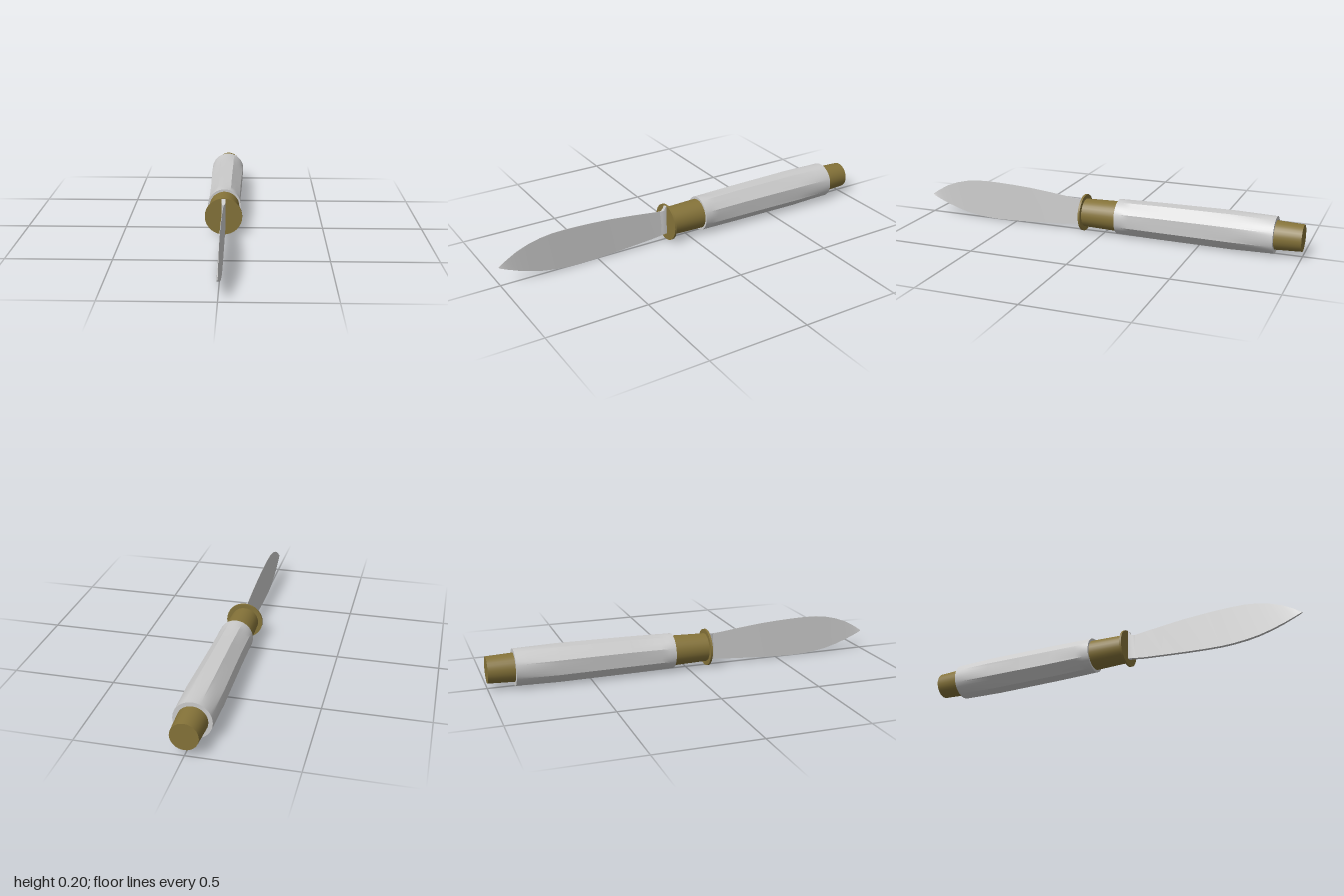
import * as THREE from 'three';
import { toCreasedNormals } from 'three/addons/utils/BufferGeometryUtils.js';

const AXIS_Y = 0.093;
const steel = new THREE.MeshStandardMaterial({ color: 0xcccccc });
const brass = new THREE.MeshStandardMaterial({ color: 0x857339 });

// Skin a list of rings (ordered by rising z, counter-clockwise seen from +z) and cap both ends.
function loft(rings, crease) {
  const n = rings[0].length, pos = [], index = [];
  rings.forEach(r => r.forEach(p => pos.push(...p)));
  for (let i = 0; i < rings.length - 1; i++) {
    for (let j = 0; j < n; j++) {
      const a = i * n + j, b = i * n + (j + 1) % n;
      index.push(a, b, b + n, a, b + n, a + n);
    }
  }
  const last = (rings.length - 1) * n;
  for (let j = 1; j < n - 1; j++) {
    index.push(0, j + 1, j, last, last + j, last + j + 1);
  }
  const g = new THREE.BufferGeometry();
  g.setAttribute('position', new THREE.Float32BufferAttribute(pos, 3));
  g.setIndex(index);
  return toCreasedNormals(g, crease);
}

function add(group, name, geometry, material) {
  const mesh = new THREE.Mesh(geometry, material);
  mesh.name = name;
  group.add(mesh);
  return mesh;
}

// Round brass piece lying along z
function brassRound(group, name, zBack, zFront, rBack, rFront) {
  const g = new THREE.CylinderGeometry(rFront, rBack, zFront - zBack, 32).rotateX(Math.PI / 2);
  add(group, name, g, brass).position.set(0, AXIS_Y, (zFront + zBack) / 2);
}

// Handle ring: a circle cut by eight flats; flat = 1 gives a full octagon, 0 a circle
function handleRing(z, rx, ry, flat) {
  const ring = [], n = 48, step = Math.PI / 4;
  for (let j = 0; j < n; j++) {
    const t = j / n * Math.PI * 2;
    const off = t - Math.round(t / step) * step;
    const k = THREE.MathUtils.lerp(1, 1 / Math.cos(off), flat);
    ring.push([Math.cos(t) * rx * k, AXIS_Y + Math.sin(t) * ry * k, z]);
  }
  return ring;
}

// Blade ring: a wedge, thick along the lower spine and thin along the upper edge
const wedge = ([z, low, high, spine, edge]) => [
  [-spine, low, z], [spine, low, z], [edge, high, z], [-edge, high, z]
];

export function createModel() {
  const knife = new THREE.Group();
  knife.name = 'knife';

  // Handle: round ends blending into an eight-sided grip
  add(knife, 'handle', loft([
    [-0.87, 0.09, 0.09, 0], [-0.82, 0.09, 0.09, 0.15], [-0.66, 0.086, 0.088, 1],
    [-0.48, 0.082, 0.087, 1], [-0.3, 0.079, 0.086, 1], [-0.15, 0.079, 0.084, 0.9],
    [-0.11, 0.085, 0.088, 0.1], [-0.075, 0.085, 0.088, 0]
  ].map(s => handleRing(...s)), 0.35), steel);

  // Brass fittings
  brassRound(knife, 'endFerrule', -1, -0.86, 0.065, 0.071);
  brassRound(knife, 'frontFerrule', -0.085, 0.105, 0.076, 0.071);
  brassRound(knife, 'guard', 0.104, 0.114, 0.093, 0.093);

  // Blade stations: z, lower y, upper y, half thickness at spine and at edge
  add(knife, 'blade', loft([
    [0.11, 0.034, 0.155, 0.009, 0.002], [0.2, 0.023, 0.166, 0.009, 0.001],
    [0.3, 0.016, 0.178, 0.009, 0.001], [0.42, 0.008, 0.19, 0.009, 0.001],
    [0.52, 0.003, 0.196, 0.009, 0.001], [0.6, 0.001, 0.199, 0.009, 0.001],
    [0.66, 0.003, 0.2, 0.009, 0.001], [0.73, 0.01, 0.198, 0.009, 0.001],
    [0.79, 0.02, 0.19, 0.008, 0.001], [0.85, 0.036, 0.175, 0.008, 0.001],
    [0.91, 0.056, 0.152, 0.007, 0.001], [0.96, 0.076, 0.124, 0.006, 0.001],
    [0.99, 0.089, 0.104, 0.005, 0.001], [1, 0.094, 0.097, 0.003, 0.001]
  ].map(wedge), 0.4), steel);

  // Thick root of the blade with a small raised stop against the guard
  add(knife, 'bladeRoot', loft([
    [0.11, 0.034, 0.183, 0.01, 0.01], [0.12, 0.033, 0.182, 0.01, 0.01],
    [0.127, 0.032, 0.165, 0.01, 0.009], [0.137, 0.031, 0.16, 0.0095, 0.006],
    [0.15, 0.029, 0.159, 0.009, 0.001]
  ].map(wedge), 0.4), steel);

  // Crescent nail nick on the left face, tilted to follow the wedge
  const nick = new THREE.Shape();
  nick.absarc(0, 0, 0.035, 0, Math.PI, false);
  const nickMesh = add(knife, 'nailNick',
    new THREE.ShapeGeometry(nick, 16).scale(1, 0.55, 1).rotateY(Math.PI / 2), steel);
  nickMesh.position.set(0.0084, 0.022, 0.58);
  nickMesh.rotation.z = 0.04;

  return knife;
}
